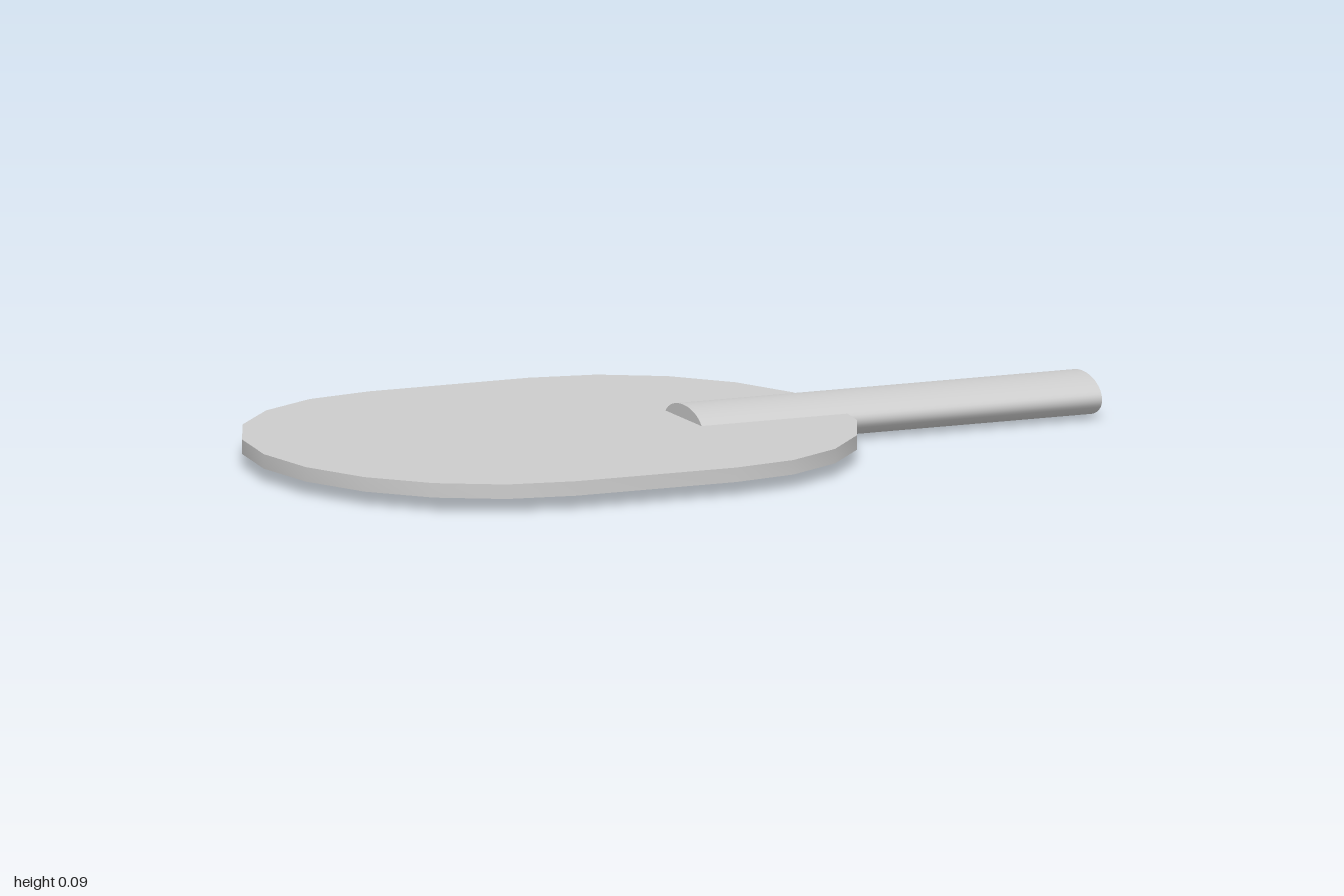
import * as THREE from 'three';
import { toCreasedNormals } from 'three/addons/utils/BufferGeometryUtils.js';

export function createModel() {
  const group = new THREE.Group();
  const material = new THREE.MeshStandardMaterial({ color: 0xcccccc });
  const midY = 0.0475;

  // Paddle blade: two half ellipses joined by short straight sides
  const outline = new THREE.Shape();
  outline.absellipse(-0.1, 0, 0.495, 0.57, -Math.PI / 2, Math.PI / 2);
  outline.absellipse(-0.49, 0, 0.51, 0.57, Math.PI / 2, Math.PI * 1.5);
  const thickness = 0.033;
  const bladeGeometry = new THREE.ExtrudeGeometry(outline, {
    depth: thickness, bevelEnabled: false, curveSegments: 5,
  });
  bladeGeometry.translate(0, 0, -thickness / 2).rotateX(-Math.PI / 2);
  const blade = new THREE.Mesh(toCreasedNormals(bladeGeometry, Math.PI / 6), material);
  blade.name = 'blade';
  blade.position.y = midY;
  group.add(blade);

  // Handle: oval bar overlapping the blade
  const handleGeometry = new THREE.CylinderGeometry(1, 1, 0.975, 48);
  handleGeometry.rotateZ(-Math.PI / 2).scale(1, midY, 0.106);
  const handle = new THREE.Mesh(handleGeometry, material);
  handle.name = 'handle';
  handle.position.set(0.5125, midY, 0);
  group.add(handle);

  return group;
}
